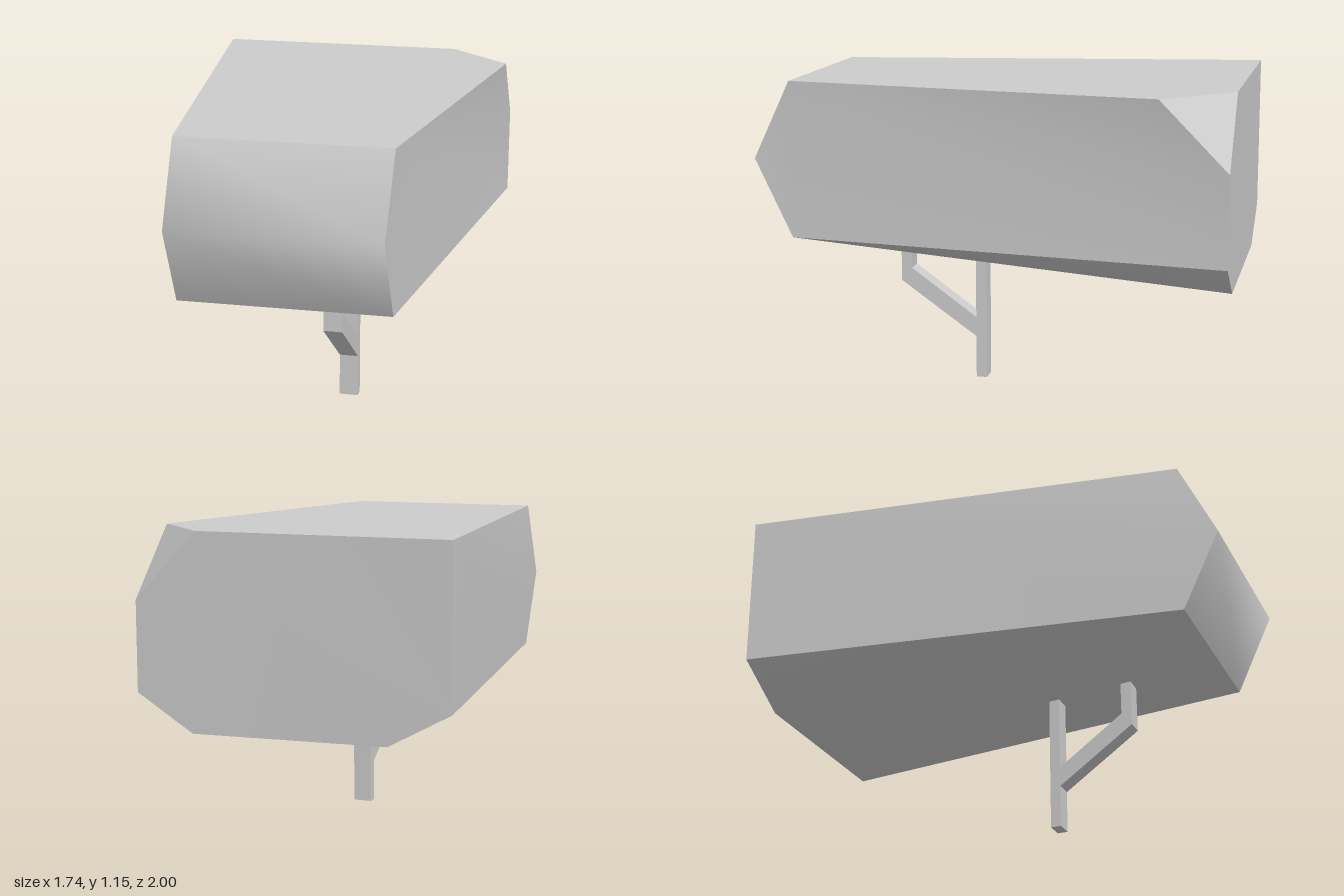
import * as THREE from 'three';
import { toCreasedNormals } from 'three/addons/utils/BufferGeometryUtils.js';

const grey = new THREE.MeshStandardMaterial({ color: 0xcccccc });

// Faceted solid from corner points and outward-facing convex polygons.
function solid(corners, faces, crease) {
  const index = [];
  for (const f of faces) {
    for (let i = 1; i < f.length - 1; i++) index.push(f[0], f[i], f[i + 1]);
  }
  const geo = new THREE.BufferGeometry();
  geo.setAttribute('position', new THREE.Float32BufferAttribute(corners.flat(), 3));
  geo.setIndex(index);
  return toCreasedNormals(geo, THREE.MathUtils.degToRad(crease));
}

// Tapered housing with a pointed nose, one clipped rear corner and a sloping underside
function createHousing() {
  const top = 1.15, mid = 0.86, low = 0.57;
  const corners = [
    [-0.87, top, -0.41], [-0.05, top, -0.88], [0.28, top, -0.79], [0.8, top, 0.5], [0.15, top, 0.88], // 0-4 top
    [0.865, mid, 0.625], [0.22, mid, 1.0],       // 5-6 nose ridge
    [0.8, low, 0.5], [0.15, low, 0.88],          // 7-8 nose bottom
    [0.155, 0.9, -1.0], [0.155, low, -1.0],      // 9-10 rear left edge
    [-0.03, 0.435, -0.89], [-0.67, 0.445, -0.525], // 11-12 rear bottom
    [-0.87, low, -0.41],                         // 13 rear right
  ];
  const faces = [
    [4, 3, 2, 1, 0],           // top
    [1, 2, 9],                 // clipped corner
    [4, 6, 5, 3], [6, 8, 7, 5], // nose
    [3, 5, 7, 10, 9, 2],       // left side
    [0, 13, 8, 6, 4],          // right side
    [1, 9, 10, 11, 12, 13, 0], // back
    [8, 12, 11, 7],            // underside
    [13, 12, 8], [11, 10, 7],  // lower bevels
  ];
  const mesh = new THREE.Mesh(solid(corners, faces, 53), grey);
  mesh.name = 'housing';
  return mesh;
}

// Upright post with a forward branching arm, cut from one profile
function createBracket() {
  const width = 0.07;
  const profile = [
    [-0.02, 0], [0.02, 0], [0.02, 0.16], [0.31, 0.365], [0.31, 0.555],
    [0.27, 0.55], [0.27, 0.415], [0.02, 0.235], [0.02, 0.53], [-0.02, 0.525],
  ];
  const shape = new THREE.Shape(profile.map(([x, y]) => new THREE.Vector2(x, y)));
  const geo = new THREE.ExtrudeGeometry(shape, { depth: width, bevelEnabled: false });
  geo.translate(0, 0, -width / 2);
  const mesh = new THREE.Mesh(geo, grey);
  mesh.name = 'supportBracket';
  mesh.rotation.y = -Math.PI / 3; // in line with the housing
  mesh.position.set(0.231, 0, 0.075);
  return mesh;
}

export function createModel() {
  const model = new THREE.Group();
  model.name = 'housingOnBracket';
  model.add(createHousing(), createBracket());
  return model;
}
